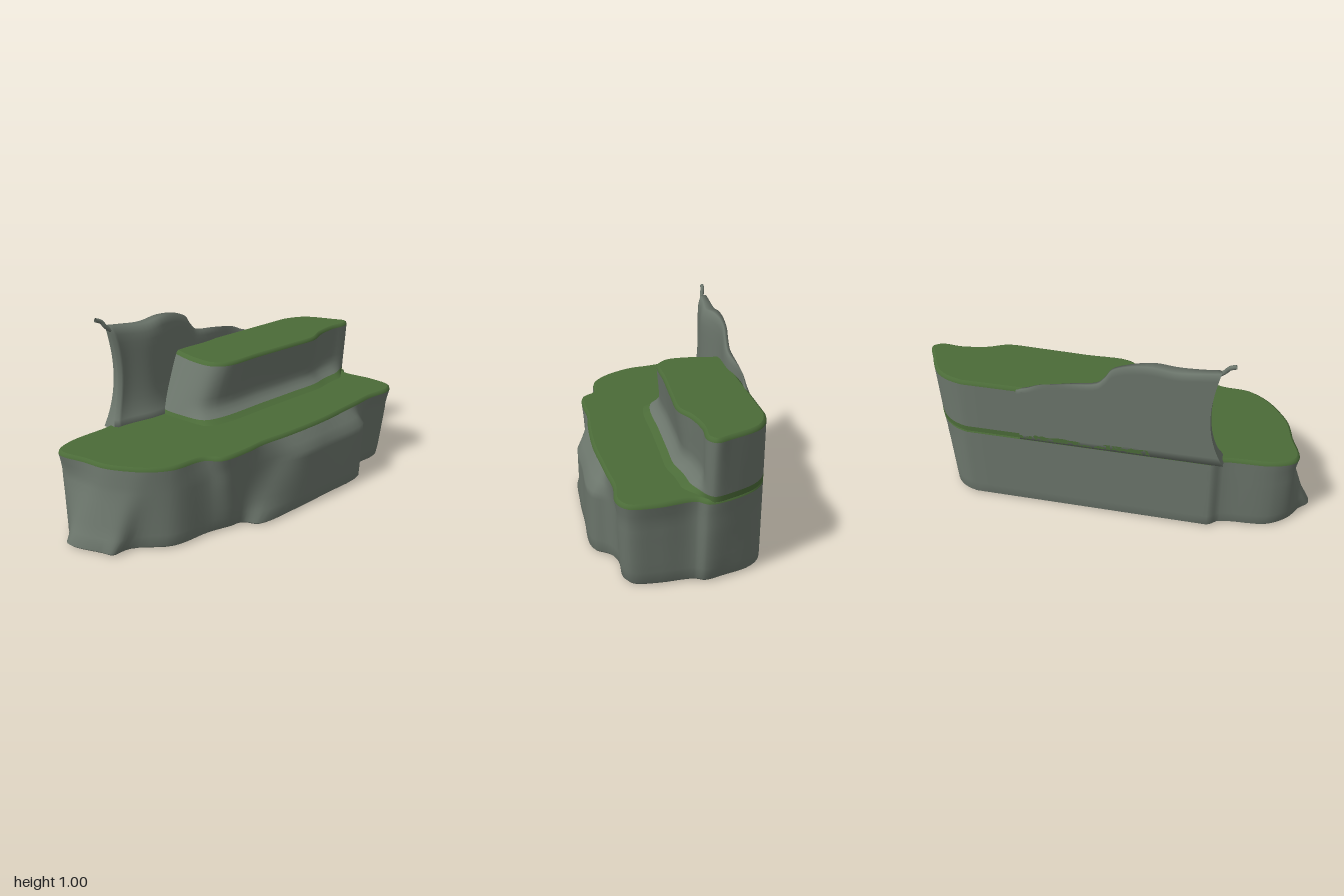
import * as THREE from 'three';

const ROCK = new THREE.MeshStandardMaterial({ color: 0x6c766c, roughness: 1, side: THREE.DoubleSide });
const GRASS = new THREE.MeshStandardMaterial({ color: 0x4b6b38, roughness: 1, side: THREE.DoubleSide });
const BACK = -0.4;
const { lerp, smoothstep } = THREE.MathUtils;

// Smooth closed outline in x, z through a flat list of corners
function outline(flat) {
  const pts = [];
  for (let i = 0; i < flat.length; i += 2) pts.push(new THREE.Vector3(flat[i], 0, flat[i + 1]));
  const curve = new THREE.CatmullRomCurve3(pts, true, 'centripetal');
  const n = pts.length * 5;
  return Array.from({ length: n }, (_, j) => {
    const p = curve.getPoint(j / n);
    p.z = Math.max(p.z, BACK);
    return p;
  });
}

// Ring at height y, blended between two outlines and drawn inwards by inset
function ringAt(a, b, t, y, inset = 0) {
  const ring = a.map((p, j) => p.clone().lerp(b[j], t));
  const n = ring.length;
  return ring.map((p, j) => {
    const d = ring[(j + 1) % n].clone().sub(ring[(j + n - 1) % n]).normalize();
    return new THREE.Vector3(p.x + d.z * inset, y, p.z - d.x * inset);
  });
}

// Smooth skin over a stack of closed rings
function loft(rings) {
  const n = rings[0].length, index = [];
  for (let i = 0; i < rings.length - 1; i++) {
    for (let j = 0; j < n; j++) {
      const k = (j + 1) % n, a = i * n + j, b = i * n + k;
      index.push(a, b, b + n, a, b + n, a + n);
    }
  }
  const geo = new THREE.BufferGeometry().setFromPoints(rings.flat());
  geo.setIndex(index);
  geo.computeVertexNormals();
  return geo;
}

// Flat lid over a level ring, facing up or down
function lid(ring, up) {
  const flat = ring.map((p) => new THREE.Vector2(p.x, -p.z));
  const index = THREE.ShapeUtils.triangulateShape(flat, []).flatMap(([a, b, c]) => {
    const ccw = flat[b].clone().sub(flat[a]).cross(flat[c].clone().sub(flat[a])) > 0;
    return ccw === up ? [a, b, c] : [a, c, b];
  });
  const geo = new THREE.BufferGeometry().setFromPoints(ring);
  geo.setIndex(index);
  geo.computeVertexNormals();
  return geo;
}

function add(group, name, geo, mat) {
  const mesh = new THREE.Mesh(geo, mat);
  mesh.name = name;
  group.add(mesh);
}

// Lower ledge: foot, shoulder and rim outlines, corner by corner from the left end
function lowerLedge() {
  const g = new THREE.Group();
  g.name = 'lowerLedge';
  const foot = outline([-0.95, -0.18, -1, -0.12, -0.93, 0.05, -0.9, 0.11, -0.8, 0.12, -0.63, 0.24, -0.42, 0.26,
    -0.3, 0.29, -0.24, 0.3, -0.19, 0.37, 0.1, 0.39, 0.3, 0.385, 0.58, 0.37, 0.64, 0.3, 0.72, 0.265, 0.86, 0.26,
    0.91, 0.22, 0.92, 0.1, 0.91, -0.05, 0.93, -0.1, 0.9, -0.2, 0.84, -0.34, 0.73, -0.4, 0.2, -0.4, -0.5, -0.4,
    -0.56, -0.36, -0.8, -0.33, -0.9, -0.26]);
  const shoulder = outline([-0.9, -0.23, -0.88, -0.11, -0.86, 0, -0.8, 0.1, -0.73, 0.17, -0.62, 0.24, -0.44, 0.27,
    -0.36, 0.32, -0.24, 0.33, -0.06, 0.345, 0.1, 0.395, 0.3, 0.39, 0.59, 0.375, 0.65, 0.31, 0.73, 0.28, 0.89, 0.28,
    0.95, 0.24, 0.95, 0.1, 0.93, -0.05, 0.965, -0.1, 0.94, -0.2, 0.85, -0.34, 0.74, -0.4, 0.2, -0.4, -0.5, -0.4,
    -0.56, -0.365, -0.8, -0.34, -0.9, -0.28]);
  const rim = outline([-0.92, -0.25, -0.88, -0.12, -0.85, 0, -0.79, 0.1, -0.72, 0.18, -0.62, 0.24, -0.46, 0.26,
    -0.39, 0.325, -0.24, 0.335, -0.12, 0.325, 0.05, 0.335, 0.3, 0.335, 0.52, 0.315, 0.62, 0.305, 0.75, 0.29, 0.9, 0.295,
    0.965, 0.25, 0.97, 0.12, 0.94, -0.05, 0.975, -0.1, 0.95, -0.2, 0.86, -0.34, 0.74, -0.4, 0.2, -0.4, -0.5, -0.4,
    -0.56, -0.365, -0.8, -0.345, -0.9, -0.3]);
  const rings = [ringAt(foot, shoulder, 0, 0.01, 0.015), ringAt(foot, shoulder, 0, 0.025)];
  for (const y of [0.08, 0.14, 0.2, 0.25, 0.3, 0.335]) {
    rings.push(ringAt(foot, shoulder, Math.min(1, Math.pow(y / 0.32, 0.9)), y));
  }
  rings.push(ringAt(shoulder, rim, 0.45, 0.375), ringAt(shoulder, rim, 1, 0.418));
  const edge = [rings.at(-1), ringAt(rim, rim, 0, 0.43, 0.004), ringAt(rim, rim, 0, 0.436, 0.014)];
  add(g, 'ledgeSides', loft(rings), ROCK);
  add(g, 'ledgeBase', lid(rings[0], false), ROCK);
  add(g, 'ledgeGrassEdge', loft(edge), GRASS);
  add(g, 'ledgeGrass', lid(edge.at(-1), true), GRASS);
  return g;
}

// Upper ledge, its foot sweeping out in front into the grass below
function upperLedge() {
  const g = new THREE.Group();
  g.name = 'upperLedge';
  const foot = outline([-0.25, -0.33, -0.25, -0.2, -0.2, -0.1, -0.1, -0.07, 0.2, -0.07, 0.45, -0.07, 0.62, -0.07,
    0.72, -0.09, 0.85, -0.1, 0.94, -0.09, 0.975, -0.12, 0.95, -0.2, 0.86, -0.34, 0.74, -0.4, 0.3, -0.4, -0.2, -0.4]);
  const rim = outline([-0.1, -0.33, -0.11, -0.2, -0.09, -0.09, -0.02, -0.035, 0.2, -0.03, 0.45, -0.022, 0.62, -0.022,
    0.72, -0.065, 0.85, -0.088, 0.96, -0.085, 1, -0.12, 0.97, -0.19, 0.88, -0.34, 0.74, -0.4, 0.3, -0.4, -0.08, -0.4]);
  const level = (y, inset) => {
    const sweep = 0.11 * Math.pow(Math.max(0, 1 - (y - 0.43) / 0.11), 2.5);
    return ringAt(foot, rim, (y - 0.43) / 0.29, y, inset).map((p) => {
      p.z += sweep * smoothstep(p.z, -0.2, -0.1) * (1 - smoothstep(p.x, 0.82, 0.96));
      return p;
    });
  };
  const sides = [0.455, 0.47, 0.49, 0.515, 0.545, 0.6, 0.66, 0.712].map((y) => level(y));
  const edge = [sides.at(-1), ringAt(rim, rim, 0, 0.724, 0.004), ringAt(rim, rim, 0, 0.73, 0.014)];
  add(g, 'upperGrassSweep', loft([0.428, 0.436, 0.445, 0.455].map((y) => level(y))), GRASS);
  add(g, 'upperSides', loft(sides), ROCK);
  add(g, 'upperGrassEdge', loft(edge), GRASS);
  add(g, 'upperGrass', lid(edge.at(-1), true), GRASS);
  return g;
}

// Thin back wall: upright cross-sections set side by side under a falling crest
function backWall() {
  const g = new THREE.Group();
  g.name = 'backWall';
  const crest = new THREE.SplineCurve([[-0.53, 0.955], [-0.45, 0.945], [-0.32, 0.932], [-0.2, 0.945], [-0.1, 0.935],
    [-0.02, 0.905], [0.02, 0.85], [0.07, 0.81], [0.2, 0.792], [0.33, 0.77], [0.4, 0.74], [0.46, 0.72]]
    .map(([x, y]) => new THREE.Vector2(x, y)));
  const columns = [], count = 48, rows = 12;
  for (let i = 0; i <= count; i++) {
    const u = i / count, c = crest.getPoint(u), ring = [];
    const face = lerp(-0.335, -0.385, smoothstep(c.x, -0.25, 0.1)) + 0.012 * Math.sin(c.x * 16);
    const place = (v, z) => {
      const y = lerp(0.42, c.y, v);
      const lean = 0.045 * Math.sin(Math.PI * Math.min(1, v * 0.95)) - 0.03 * Math.pow(1 - v, 6);
      ring.push(new THREE.Vector3(c.x + lean * (1 - smoothstep(u, 0, 0.25)), y, z));
    };
    for (let k = 0; k <= rows; k++) place(k / rows, BACK);
    for (let k = rows; k >= 0; k--) {
      const v = k / rows;
      const thin = i === 0 ? 0.6 : 1;
      const round = 1 - 0.35 * Math.pow(v, 14);
      const z = lerp(BACK, face, thin * round) + 0.05 * Math.pow(1 - v, 7);
      place(v, z);
    }
    columns.push(ring);
  }
  add(g, 'wallFace', loft(columns), ROCK);
  const end = columns[0];
  const endGeo = new THREE.BufferGeometry().setFromPoints(end);
  const index = [];
  for (let k = 0; k < rows; k++) {
    const a = k, b = k + 1, c = end.length - 2 - k, d = end.length - 1 - k;
    index.push(a, d, c, a, c, b);
  }
  endGeo.setIndex(index);
  endGeo.computeVertexNormals();
  add(g, 'wallEnd', endGeo, ROCK);

  // Crooked spur at the wall's high corner
  const spur = new THREE.CatmullRomCurve3([[-0.5, 0.925, -0.372], [-0.535, 0.955, -0.378], [-0.555, 0.982, -0.385],
    [-0.585, 0.995, -0.388]].map((p) => new THREE.Vector3(...p)));
  const spurGeo = new THREE.TubeGeometry(spur, 10, 0.011, 8, false);
  add(g, 'wallSpur', spurGeo, ROCK);
  return g;
}

export function createModel() {
  const model = new THREE.Group();
  model.name = 'grassyCliff';
  model.add(lowerLedge(), upperLedge(), backWall());
  return model;
}
